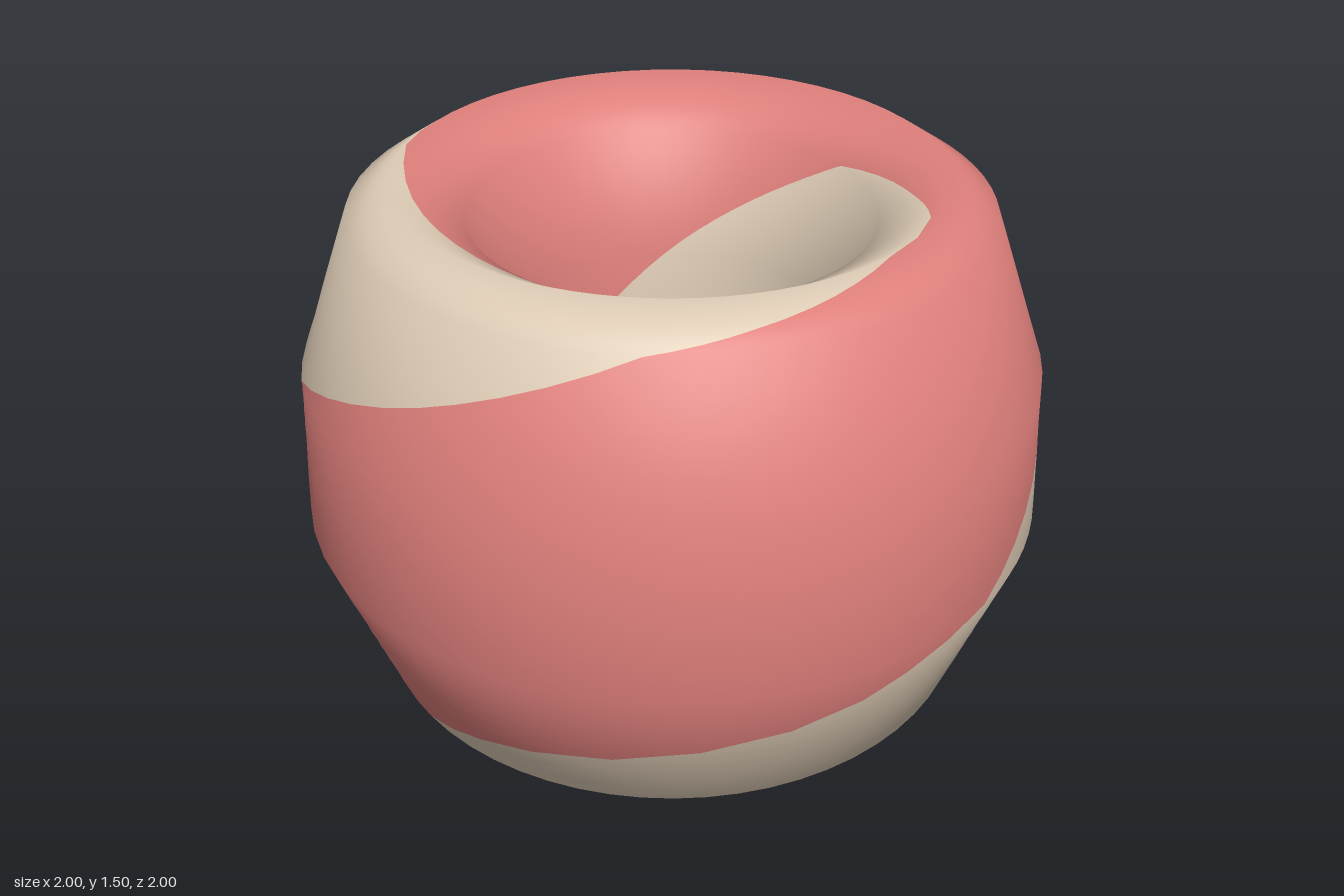
import * as THREE from 'three';

// Closed ring cross-section as [radius, height], running up the outside and down the bore
const PROFILE = [
  [0.50, 0.11], [0.62, 0], [0.83, 0.13], [1, 0.59], [0.98, 1], [0.83, 1.42],
  [0.71, 1.5], [0.53, 1.39], [0.43, 1.05], [0.42, 0.6],
];
const COUNT = PROFILE.length;
const STEPS = 10;    // subdivisions of each profile edge
const COLUMNS = 32;  // subdivisions across each stripe

// Stripe borders: [position along the profile, angle in degrees from the front]
const LOWER_BORDER = [
  [0, -150], [1, -128], [2, -104], [2.26, -82], [2.4, -62], [2.66, -26], [3, -1],
  [3.49, 24], [4, 50], [4.48, 74], [5, 101], [5.17, 120], [5.6, 170], [6, 205],
  [6.42, 236], [7, 274], [8, 320], [9, 440], [10, 570],
];
const UPPER_BORDER = [
  [0, -95], [1, -25], [2, 80], [2.4, 97], [2.76, 115], [3, 126], [3.27, 143],
  [3.6, 172], [4, 230], [4.48, 266], [5, 303], [5.4, 321], [6, 352], [6.2, 376],
  [6.55, 395], [7, 428], [8, 490], [9, 560], [10, 625],
];

function sample(knots, s) {
  let i = 1;
  while (i < knots.length - 1 && knots[i][0] < s) i++;
  const [s0, a0] = knots[i - 1], [s1, a1] = knots[i];
  return THREE.MathUtils.degToRad(THREE.MathUtils.mapLinear(s, s0, s1, a0, a1));
}

// Point and smooth outward normal at a position along the profile
const point = (i) => new THREE.Vector2(...PROFILE[(i + COUNT) % COUNT]);
function cornerNormal(i) {
  const before = point(i).sub(point(i - 1)).normalize();
  const after = point(i + 1).sub(point(i)).normalize();
  const t = before.add(after);
  return new THREE.Vector2(t.y, -t.x).normalize();
}

// A stripe swept around the ring between two angle functions
function stripeGeometry(from, to) {
  const positions = [], normals = [], index = [];
  const rows = COUNT * STEPS;
  for (let r = 0; r <= rows; r++) {
    const s = r / STEPS, i = Math.floor(s), f = s - i;
    const p = point(i).lerp(point(i + 1), f);
    const n = cornerNormal(i).lerp(cornerNormal(i + 1), f).normalize();
    for (let c = 0; c <= COLUMNS; c++) {
      const a = THREE.MathUtils.lerp(from(s), to(s), c / COLUMNS);
      positions.push(p.x * Math.sin(a), p.y, p.x * Math.cos(a));
      normals.push(n.x * Math.sin(a), n.y, n.x * Math.cos(a));
      if (r < rows && c < COLUMNS) {
        const k = r * (COLUMNS + 1) + c, up = k + COLUMNS + 1;
        index.push(k, k + 1, up, k + 1, up + 1, up);
      }
    }
  }
  const geometry = new THREE.BufferGeometry();
  geometry.setAttribute('position', new THREE.Float32BufferAttribute(positions, 3));
  geometry.setAttribute('normal', new THREE.Float32BufferAttribute(normals, 3));
  geometry.setIndex(index);
  return geometry;
}

export function createModel() {
  const group = new THREE.Group();
  group.name = 'stripedBead';

  const cream = new THREE.MeshStandardMaterial({ color: 0xddcbb5 });
  cream.name = 'cream';
  const coral = new THREE.MeshStandardMaterial({ color: 0xde7f7b });
  coral.name = 'coral';

  const lower = (s) => sample(LOWER_BORDER, s);
  const upper = (s) => sample(UPPER_BORDER, s);

  // The two spiral stripes together form the whole ring
  const creamStripe = new THREE.Mesh(stripeGeometry(lower, upper), cream);
  creamStripe.name = 'creamStripe';
  const coralStripe = new THREE.Mesh(
    stripeGeometry(upper, (s) => lower(s) + 2 * Math.PI), coral);
  coralStripe.name = 'coralStripe';

  group.add(creamStripe, coralStripe);
  return group;
}
